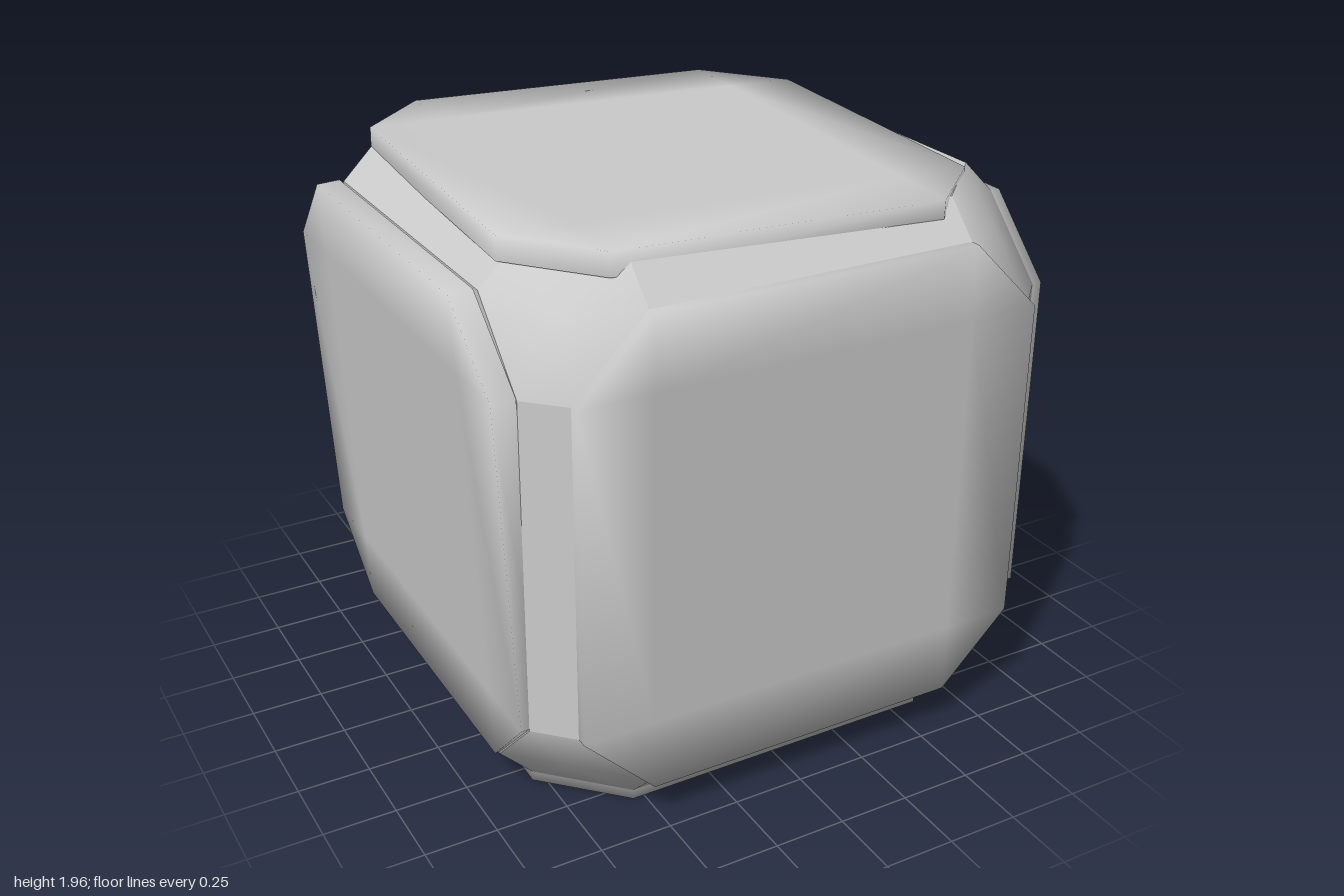
import * as THREE from 'three';

const CORE = 0.935, WIDE = 0.82, NARROW = 0.57, PLATE = 0.08, OUT = 0.97;
const CENTRE = new THREE.Vector3(0.03, 0.97, 0);
const V = (x, y, z) => new THREE.Vector3(x, y, z);
const grey = () => new THREE.MeshStandardMaterial({ color: 0xcccccc });

// Collects convex polygons as fans, with an explicit normal per corner
function makeSurface() {
  const pos = [], nor = [];
  const tri = (p, n) => {
    const face = p[1].clone().sub(p[0]).cross(p[2].clone().sub(p[0]));
    const order = face.dot(n[0].clone().add(n[1]).add(n[2])) < 0 ? [0, 2, 1] : [0, 1, 2];
    for (const i of order) { pos.push(...p[i].toArray()); nor.push(...n[i].clone().normalize().toArray()); }
  };
  const fan = (p, n) => {
    for (let i = 1; i < p.length - 1; i++) tri([p[0], p[i], p[i + 1]], [n[0], n[i], n[i + 1]]);
  };
  const flat = (p, n) => fan(p, p.map(() => n));
  const build = () => {
    const g = new THREE.BufferGeometry();
    g.setAttribute('position', new THREE.Float32BufferAttribute(pos, 3));
    g.setAttribute('normal', new THREE.Float32BufferAttribute(nor, 3));
    return g;
  };
  return { tri, fan, flat, build };
}

// Square with cut corners, walked around once
const octagon = [[1, 0], [0, 1], [-1, 0], [0, -1]].flatMap(([c, s]) =>
  [[WIDE, -NARROW], [WIDE, NARROW]].map(([a, b]) => [a * c - b * s, a * s + b * c]));

// Octagonal plate: outer face at y = 0, softly shaded border, straight rim
function plateGeometry() {
  const s = makeSurface(), up = V(0, 1, 0);
  const top = octagon.map(([x, z]) => V(x, 0, z));
  const low = octagon.map(([x, z]) => V(x, -PLATE, z));
  const side = octagon.map(([x, z], i) => {
    const a = (Math.floor(i / 2) * Math.PI) / 2 + (i % 2 ? 1 : -1) * Math.PI / 8;
    return V(Math.cos(a), 0, Math.sin(a));
  });
  const soft = side.map(n => n.clone().add(up));
  const inner = octagon.map(([x, z]) => V(Math.sign(x) * NARROW, 0, Math.sign(z) * NARROW));
  s.flat([inner[0], inner[2], inner[4], inner[6]], up);
  s.flat(low, V(0, -1, 0));
  for (let i = 0; i < 8; i++) {
    const j = (i + 1) % 8;
    if (i % 2) s.tri([inner[i], top[i], top[j]], [up, soft[i], soft[j]]);
    else s.fan([inner[i], top[i], top[j], inner[j]], [up, soft[i], soft[j], up]);
    s.fan([top[i], top[j], low[j], low[i]], [soft[i], soft[j], side[j], side[i]]);
  }
  return s.build();
}

// Chamfered cube with large, softly shaded hexagonal corners
function coreGeometry() {
  const s = makeSurface();
  // Puts a point given as (a, b, c) on axes k, k+1, k+2
  const turn = (a, b, c, k) => { const r = V(0, 0, 0); [a, b, c].forEach((v, i) => r.setComponent((i + k) % 3, v)); return r; };
  for (let k = 0; k < 3; k++) for (const u of [-1, 1]) {
    // Face under a plate
    s.flat(octagon.map(([p, q]) => turn(u * CORE, p, q, k)), turn(u, 0, 0, k));
    // Edge strips
    for (const v of [-1, 1]) s.flat([
      turn(u * CORE, v * WIDE, NARROW, k), turn(u * CORE, v * WIDE, -NARROW, k),
      turn(u * WIDE, v * CORE, -NARROW, k), turn(u * WIDE, v * CORE, NARROW, k)], turn(u, v, 0, k));
  }
  // Corners
  for (const x of [-1, 1]) for (const y of [-1, 1]) for (const z of [-1, 1]) {
    const sign = V(x, y, z), ring = [], normals = [];
    for (let k = 0; k < 3; k++) {
      ring.push(turn(CORE, NARROW, WIDE, k).multiply(sign), turn(CORE, WIDE, NARROW, k).multiply(sign));
      normals.push(turn(1, 0.35, 0.8, k).multiply(sign), turn(1, 0.8, 0.35, k).multiply(sign));
    }
    const mid = sign.clone().multiplyScalar(0.782);
    ring.forEach((p, i) => {
      const j = (i + 1) % 6;
      s.tri([mid, p, ring[j]], [sign, normals[i], normals[j]]);
    });
  }
  return s.build();
}

export function createModel() {
  const group = new THREE.Group();
  const add = (name, geometry, position, rotation = [0, 0, 0]) => {
    const mesh = new THREE.Mesh(geometry, grey());
    mesh.name = name;
    mesh.position.copy(position);
    mesh.rotation.set(...rotation);
    group.add(mesh);
  };
  const at = (x, y, z) => V(x, y, z).multiplyScalar(OUT).add(CENTRE);
  const H = Math.PI / 2, plate = plateGeometry();

  add('core', coreGeometry(), CENTRE);
  add('frontPlate', plate, at(0, 0, 1), [H, 0, 0]);
  add('backPlate', plate, at(0, 0, -1), [-H, 0, 0]);
  add('leftPlate', plate, at(1, 0, 0), [0, 0, -H]);
  add('bottomPlate', plate, at(0, -1, 0), [Math.PI, 0, 0]);
  // Two plates sit loose and crooked
  add('rightPlate', plate, V(-0.96, 0.975, 0), [0, 0, H + 0.048]);
  add('topPlate', plate, V(0, 1.94, 0.03), [0.015, -0.04, -0.018]);
  return group;
}
